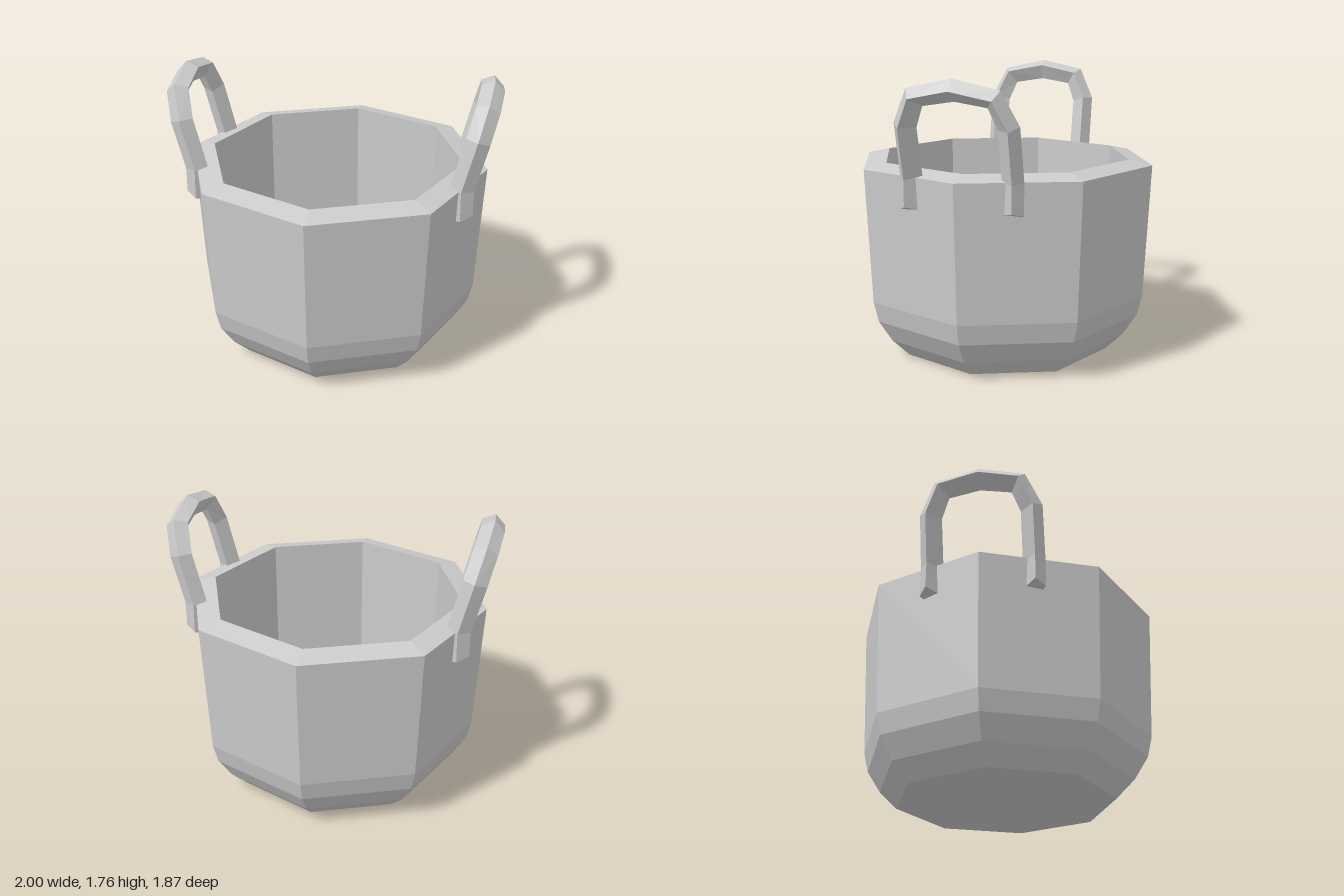
import * as THREE from 'three';

const material = new THREE.MeshStandardMaterial({ color: 0xcccccc, flatShading: true });

// Octagonal pot: outer wall, sloping rim, upright inner wall, chamfer and floor
function createPot() {
  const profile = [
    [0, 0], [0.67, 0], [0.78, 0.11], [0.865, 0.245], [0.895, 0.37], [0.933, 1.19],
    [0.79, 1.22], [0.79, 0.33], [0.56, 0.12], [0, 0.12],
  ].map(([r, y]) => new THREE.Vector2(r, y));
  const pot = new THREE.Mesh(new THREE.LatheGeometry(profile, 8), material);
  pot.name = 'pot';
  return pot;
}

// Half of the handle path, leg end to top:
// centre x, y, z, then the turn of the section around the arch and its outward tilt (degrees)
const halfPath = [
  [0.806, 1.005, 0.295, 0, 18],
  [0.802, 1.19, 0.295, 0, -6],
  [0.876, 1.49, 0.295, 12, -13],
  [0.914, 1.645, 0.225, 51, -13],
  [0.926, 1.688, 0, 90, -13],
];

// Kite-shaped handle section: offset sideways, offset away from the arch centre
const section = [[0.072, 0.02], [0, 0.07], [-0.07, 0.02], [-0.01, -0.062]];

// Arched handle swept with the section; side is 1 for left, -1 for right
function createHandle(side) {
  const rad = THREE.MathUtils.degToRad;
  const lean = new THREE.Vector2(Math.sin(rad(13)), Math.cos(rad(13)));
  const ring = ([x, y, z, turn, tilt], zSign) => {
    const up = Math.sin(rad(turn)), along = Math.cos(rad(turn));
    return section.map(([b, n]) => [
      side * (x + b * Math.cos(rad(tilt)) + n * up * lean.x),
      y + b * Math.sin(rad(tilt)) + n * up * lean.y,
      zSign * (z + n * along),
    ]);
  };
  const rings = [
    ...halfPath.map((p) => ring(p, 1)),
    ...halfPath.slice(0, -1).reverse().map((p) => ring(p, -1)),
  ];

  const positions = [];
  const triangle = (a, b, c) => positions.push(...a, ...(side > 0 ? b : c), ...(side > 0 ? c : b));
  const quad = (a, b, c, d) => {
    triangle(a, b, c);
    triangle(a, c, d);
  };
  for (let i = 0; i < rings.length - 1; i++) {
    const p = rings[i], q = rings[i + 1];
    section.forEach((_, j) => {
      const k = (j + 1) % section.length;
      quad(p[j], q[j], q[k], p[k]);
    });
  }
  // End caps
  quad(...rings[0]);
  quad(...rings[rings.length - 1].slice().reverse());

  const geometry = new THREE.BufferGeometry();
  geometry.setAttribute('position', new THREE.Float32BufferAttribute(positions, 3));
  geometry.computeVertexNormals();
  const handle = new THREE.Mesh(geometry, material);
  handle.name = side > 0 ? 'leftHandle' : 'rightHandle';
  return handle;
}

export function createModel() {
  const group = new THREE.Group();
  group.name = 'handledPot';
  group.add(createPot(), createHandle(1), createHandle(-1));
  return group;
}
